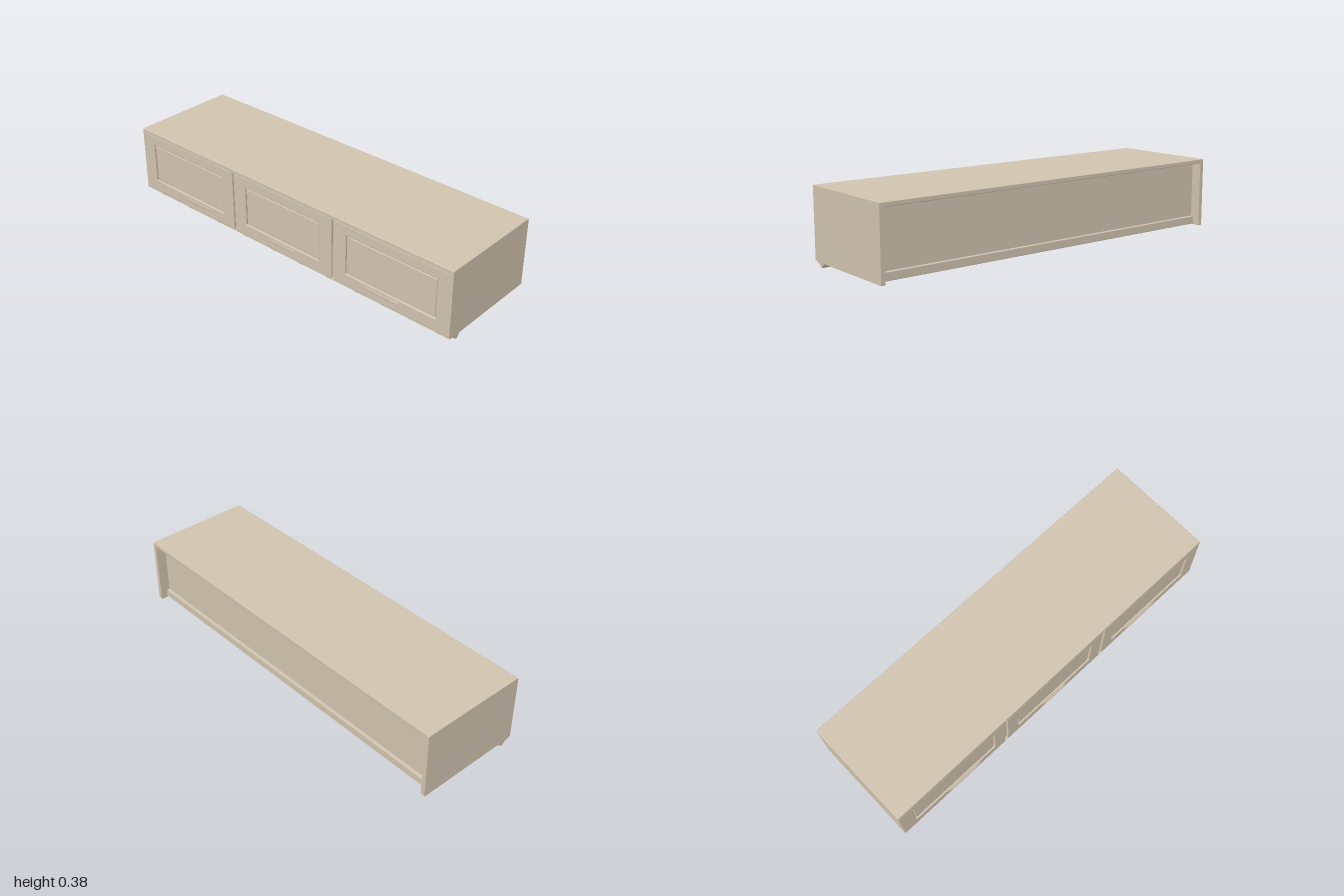
import * as THREE from 'three';
import { RoundedBoxGeometry } from 'three/addons/geometries/RoundedBoxGeometry.js';

export function createModel() {
  const model = new THREE.Group();
  model.name = 'wallCabinet';
  const paint = new THREE.MeshStandardMaterial({ color: 0xd2c4b0 });
  paint.name = 'taupePaint';

  const add = (name, geometry) => {
    const mesh = new THREE.Mesh(geometry, paint);
    mesh.name = name;
    model.add(mesh);
    return mesh;
  };
  // board from its min and max corners, with slightly eased edges
  const board = (name, x0, x1, y0, y1, z0, z1, r = 0.003) => {
    const g = new RoundedBoxGeometry(x1 - x0, y1 - y0, z1 - z0, 2, r);
    g.translate((x0 + x1) / 2, (y0 + y1) / 2, (z0 + z1) / 2);
    return add(name, g);
  };
  // extrude a [z, y] profile along x between x0 and x1
  const alongX = (name, points, x0, x1) => {
    const shape = new THREE.Shape(points.map(p => new THREE.Vector2(...p)));
    const g = new THREE.ExtrudeGeometry(shape, { depth: x1 - x0, bevelEnabled: false });
    g.rotateY(-Math.PI / 2);
    g.translate(x1, 0, 0);
    return add(name, g);
  };

  // moulded lip below the doors, shared by the side panels and front rail
  const lip = [[0.2, 0.023], [0.208, 0.02], [0.213, 0.012], [0.217, 0.004], [0.222, 0.001],
    [0.232, 0.001], [0.237, 0.005], [0.242, 0.013], [0.252, 0.019], [0.266, 0.024], [0.28, 0.026], [0.283, 0.029]];

  // carcass
  for (const [name, x0, x1] of [['leftSide', 0.978, 1], ['rightSide', -1, -0.978]]) {
    alongX(name, [[-0.29, 0.027], [-0.286, 0.023], ...lip,
      [0.283, 0.375], [0.279, 0.379], [-0.286, 0.379], [-0.29, 0.375]], x0, x1);
  }
  alongX('frontRail', [...lip, [0.283, 0.033], [0.262, 0.036], [0.262, 0.06], [0.2, 0.06]], -0.979, 0.979);
  board('topPanel', -0.999, 0.999, 0.358, 0.38, -0.29, 0.283);
  board('bottomPanel', -0.982, 0.982, 0.027, 0.068, -0.252, 0.21);
  board('backPanel', -0.982, 0.982, 0.06, 0.37, -0.236, -0.22);
  board('faceBacking', -0.982, 0.982, 0.03, 0.365, 0.25, 0.27);

  // rectangle path, usable as outline or hole
  const rect = (path, x0, x1, y0, y1) => {
    path.moveTo(x0, y0);
    path.lineTo(x1, y0);
    path.lineTo(x1, y1);
    path.lineTo(x0, y1);
    path.closePath();
    return path;
  };

  // doors: bevelled frame around a slightly sunken panel
  const doors = [
    ['rightDoor', -0.998, -0.332, -0.92, -0.405, -0.61, 0.24],
    ['middleDoor', -0.319, 0.319, -0.243, 0.243, 0, 0.18],
    ['leftDoor', 0.332, 0.998, 0.405, 0.92, 0.61, 0.24],
  ];
  const b = 0.004;
  for (const [name, x0, x1, h0, h1, handleX, handleW] of doors) {
    const frame = rect(new THREE.Shape(), x0 + b, x1 - b, 0.033 + b, 0.362 - b);
    frame.holes.push(rect(new THREE.Path(), h0 - b, h1 + b, 0.098 - b, 0.307 + b));
    const frameGeometry = new THREE.ExtrudeGeometry(frame, {
      depth: 0.006, bevelEnabled: true, bevelThickness: b, bevelSize: b, bevelSegments: 2,
    });
    frameGeometry.translate(0, 0, 0.2738);
    add(name + 'Frame', frameGeometry);
    board(name + 'Panel', h0 + 0.006, h1 - 0.006, 0.104, 0.301, 0.262, 0.278, 0.004);

    // shallow bow handle, its ends hanging a little lower than the middle
    const w = handleW / 2;
    const bow = new THREE.Shape();
    bow.moveTo(-w, 0);
    bow.quadraticCurveTo(-w * 0.75, 0.011, -w * 0.5, 0.012);
    bow.lineTo(w * 0.5, 0.012);
    bow.quadraticCurveTo(w * 0.75, 0.011, w, 0);
    bow.closePath();
    const handle = new THREE.ExtrudeGeometry(bow, {
      depth: 0.01, bevelEnabled: true, bevelThickness: 0.002, bevelSize: 0.001, bevelSegments: 1,
    });
    handle.rotateX(Math.PI / 2);
    const pos = handle.attributes.position;
    for (let i = 0; i < pos.count; i++) {
      const t = pos.getX(i) / w;
      pos.setY(i, pos.getY(i) - 0.005 * t * t);
    }
    handle.translate(handleX, 0.088, 0.28);
    handle.computeVertexNormals();
    add(name + 'Handle', handle);
  }
  return model;
}
